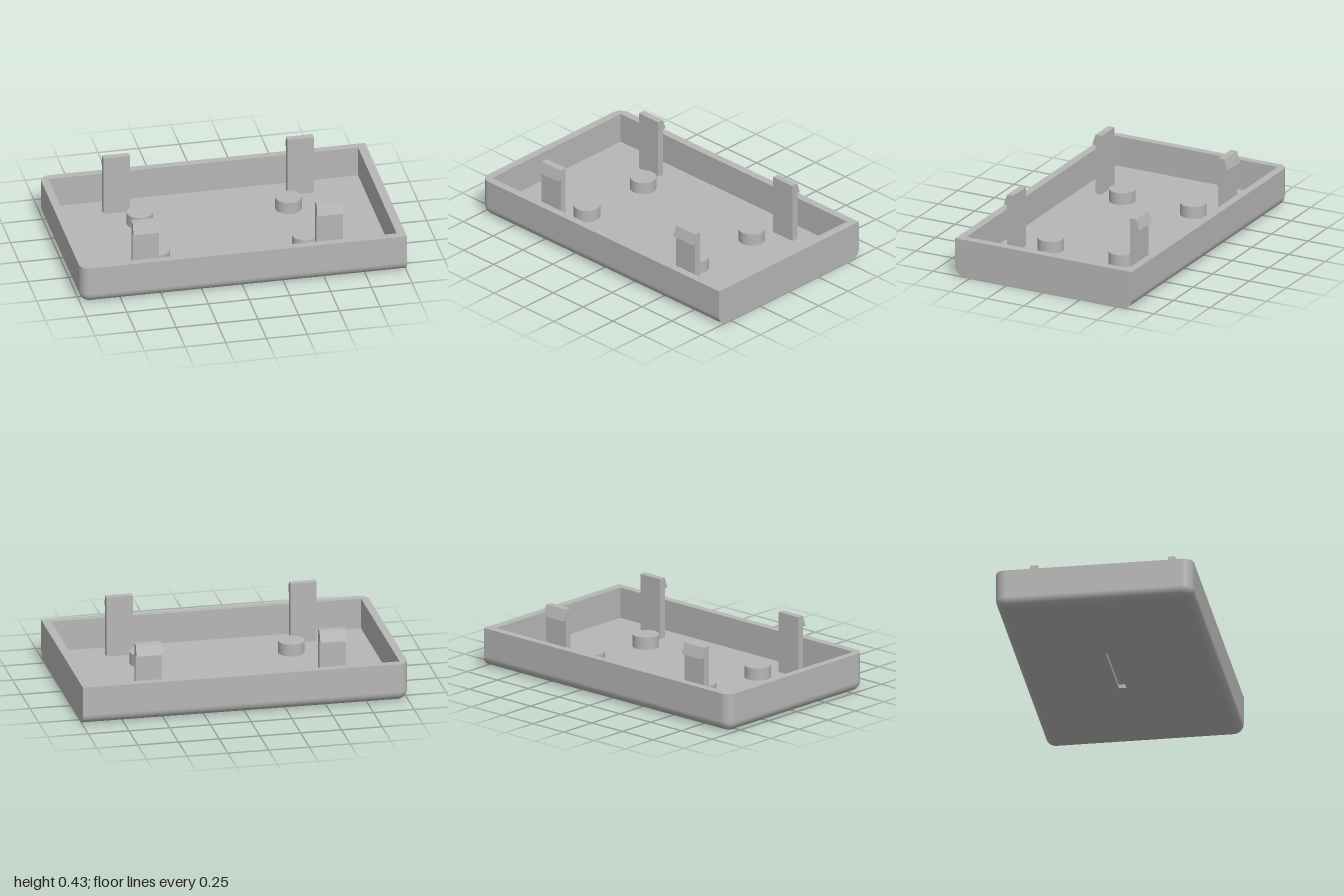
import * as THREE from 'three';

const R = 0.063;          // edge rounding
const H = 0.24;           // tray height
const HZ = 0.6;           // half depth
const FLOOR = 0.05;       // inner floor level
const CX = -0.003;        // centre of the inner features
const SEG = 12;

// Plan outline: square at +x, rounded corners at -x. Each entry is [x, z, nx, nz].
function outline(rho) {
  const pts = [[1, HZ - R + rho, 0, 1]];
  for (const side of [1, -1]) {
    for (let i = 0; i <= SEG; i++) {
      const a = (side > 0 ? 0.5 : 1) * Math.PI + (i / SEG) * Math.PI / 2;
      const c = Math.cos(a), s = Math.sin(a);
      pts.push([-1 + R + rho * c, side * (HZ - R) + rho * s, c, s]);
    }
  }
  pts.push([1, -(HZ - R + rho), 0, -1]);
  return pts;
}

// Three outer sides with the rounded lower edge, skinned from stacked outlines
function shellGeometry() {
  const pos = [], nor = [], idx = [];
  const levels = [[H, 0]];
  for (let i = 0; i <= SEG; i++) {
    const p = (i / SEG) * Math.PI / 2;
    levels.push([R - R * Math.sin(p), p]);
  }
  let n = 0;
  for (const [y, p] of levels) {
    const ring = outline(R * Math.cos(p));
    n = ring.length;
    for (const [x, z, nx, nz] of ring) {
      pos.push(x, y, z);
      nor.push(nx * Math.cos(p), -Math.sin(p), nz * Math.cos(p));
    }
  }
  for (let j = 0; j < levels.length - 1; j++) {
    for (let i = 0; i < n - 1; i++) {
      const a = j * n + i, b = a + 1, c = a + n, d = c + 1;
      idx.push(a, b, c, b, d, c);
    }
  }
  const g = new THREE.BufferGeometry();
  g.setAttribute('position', new THREE.Float32BufferAttribute(pos, 3));
  g.setAttribute('normal', new THREE.Float32BufferAttribute(nor, 3));
  g.setIndex(idx);
  return g;
}

function rectPath(x0, x1, y0, y1, Type = THREE.Path) {
  return new Type([[x0, y0], [x1, y0], [x1, y1], [x0, y1]].map(p => new THREE.Vector2(...p)));
}

// Inward-facing box with one face left open (2 = top, 3 = bottom)
function pocketGeometry(w, h, d, open) {
  const box = new THREE.BoxGeometry(w, h, d);
  const idx = Array.from(box.index.array);
  idx.splice(open * 6, 6);
  box.setIndex(idx);
  box.clearGroups();
  box.scale(-1, 1, 1);
  const g = box.toNonIndexed();
  g.computeVertexNormals();
  return g;
}

export function createModel() {
  const model = new THREE.Group();
  model.name = 'snapFitTray';
  const grey = new THREE.MeshStandardMaterial({ color: 0xb6b6b6 });
  grey.name = 'plastic grey';

  const add = (name, geometry, x = 0, y = 0, z = 0) => {
    const mesh = new THREE.Mesh(geometry, grey);
    mesh.name = name;
    mesh.position.set(x, y, z);
    model.add(mesh);
    return mesh;
  };

  // Outer sides
  add('outerSides', shellGeometry());

  // Flat end at +x with rounded lower corners
  const end = new THREE.Shape();
  end.moveTo(HZ, H);
  end.lineTo(-HZ, H);
  end.lineTo(-HZ, R);
  end.absarc(-HZ + R, R, R, Math.PI, 1.5 * Math.PI, false);
  end.absarc(HZ - R, R, R, 1.5 * Math.PI, 2 * Math.PI, false);
  end.closePath();
  add('flatEnd', new THREE.ShapeGeometry(end, SEG).rotateY(Math.PI / 2), 1);

  // Top rim around the cavity
  const cw = 0.95, cd = 0.552;
  const rim = new THREE.Shape(outline(R).map(([x, z]) => new THREE.Vector2(x, z)));
  rim.holes.push(rectPath(CX - cw, CX + cw, -cd, cd));
  add('rim', new THREE.ShapeGeometry(rim).rotateX(-Math.PI / 2), 0, H);

  // Cavity walls and floor
  const depth = H - FLOOR;
  add('cavity', pocketGeometry(cw * 2, depth, cd * 2, 2), CX, FLOOR + depth / 2);

  // Underside with a shallow pry slot
  const z0 = -0.042, z1 = 0.004, slotDepth = 0.025;
  const base = rectPath(-1 + R, 1, -HZ + R, HZ - R, THREE.Shape);
  base.holes.push(rectPath(-0.25, 0.25, z0, z1));
  add('underside', new THREE.ShapeGeometry(base).rotateX(Math.PI / 2));
  add('prySlot', pocketGeometry(0.5, slotDepth, z1 - z0, 3), 0, slotDepth / 2, (z0 + z1) / 2);

  // Locating posts and hooked clips, mirrored to the four quarters
  const postTop = 0.126;
  const post = new THREE.CylinderGeometry(0.08, 0.08, postTop - FLOOR, 40);
  const profile = new THREE.Shape([
    [0.396, FLOOR], [0.438, FLOOR], [0.438, 0.36], [0.461, 0.36], [0.438, 0.427], [0.396, 0.427],
  ].map(p => new THREE.Vector2(...p)));
  const clipWidth = 0.161;
  const clip = new THREE.ExtrudeGeometry(profile, { depth: clipWidth, bevelEnabled: false });
  clip.translate(0, 0, -clipWidth / 2);
  for (const sx of [1, -1]) {
    for (const sz of [1, -1]) {
      const where = (sz > 0 ? 'front' : 'back') + (sx > 0 ? 'Left' : 'Right');
      add(where + 'Post', post, CX + sx * 0.456, (FLOOR + postTop) / 2, sz * 0.241);
      add(where + 'Clip', clip, CX + sx * 0.564).rotation.y = -sz * Math.PI / 2;
    }
  }
  return model;
}
